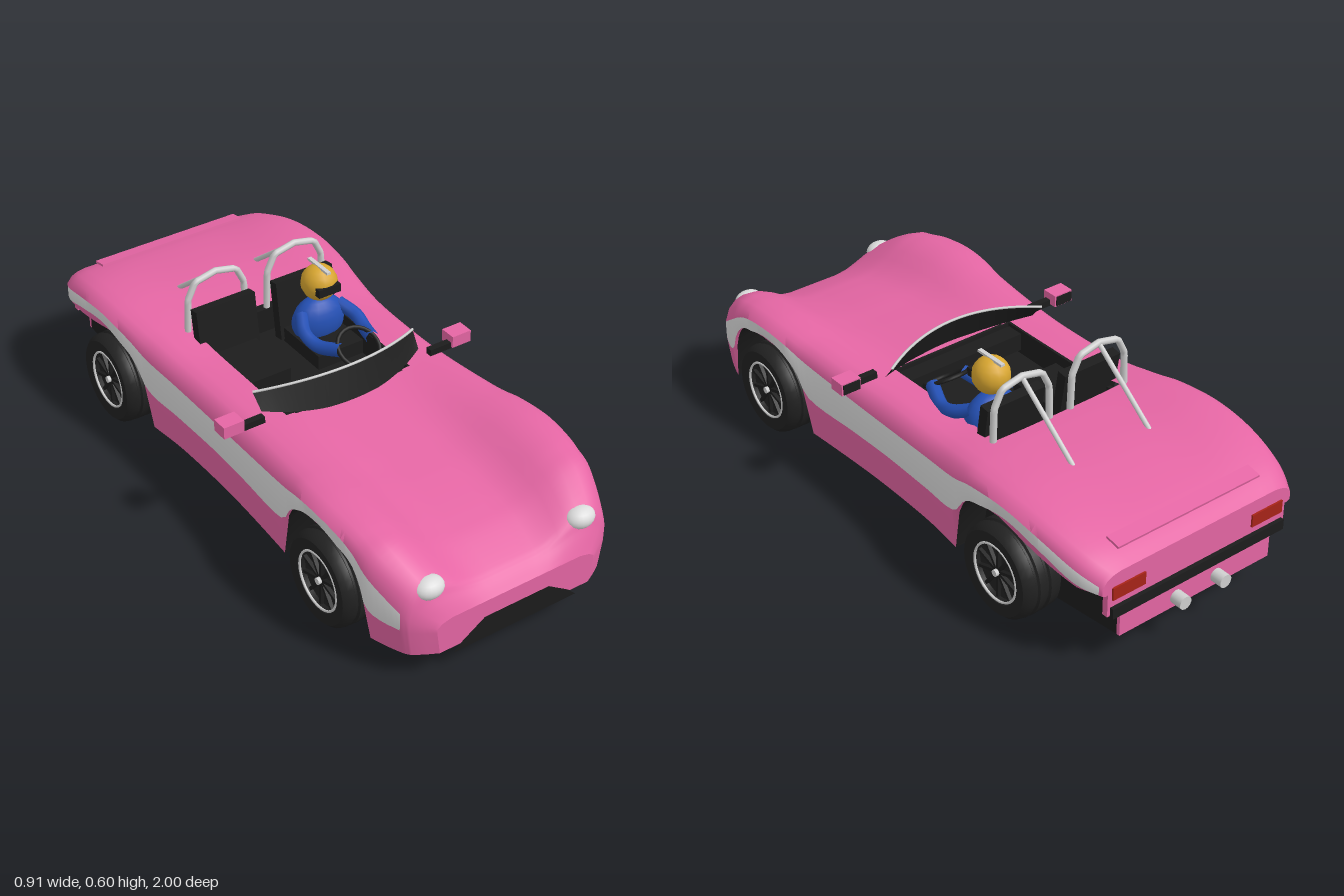
import * as THREE from 'three';
import { toCreasedNormals } from 'three/addons/utils/BufferGeometryUtils.js';

const mat = (name, color, side = THREE.FrontSide) => {
  const m = new THREE.MeshStandardMaterial({ color, side });
  m.name = name;
  return m;
};
const pink = mat('pink paint', 0xe566a4);
const white = mat('pale stripe', 0xdcdcdc);
const black = mat('black trim', 0x1c1c1c, THREE.DoubleSide);
const rubber = mat('tyre rubber', 0x212121);
const metal = mat('pale metal', 0xd0d0d0);
const blue = mat('blue overalls', 0x2450b4);
const yellow = mat('yellow helmet', 0xd8a630);
const red = mat('red lamp', 0xa82418);

// Body stations: z, half width, centre height, fender height, stripe top, stripe bottom
const stations = [
  [1, .28, .205, .205, .185, .17], [.97, .335, .235, .265, .21, .175], [.94, .365, .255, .315, .24, .18],
  [.84, .403, .295, .38, .31, .2], [.77, .408, .312, .4, .355, .3], [.7, .412, .325, .41, .378, .338],
  [.6, .415, .34, .416, .388, .358], [.5, .41, .35, .412, .378, .33], [.4, .4, .36, .404, .355, .23],
  [.17, .388, .38, .391, .335, .22], [0, .385, .387, .39, .33, .22], [-.2, .39, .39, .392, .335, .22],
  [-.35, .405, .405, .41, .352, .235], [-.45, .415, .41, .42, .38, .32], [-.6, .42, .41, .425, .395, .36],
  [-.75, .415, .395, .41, .375, .335], [-.88, .395, .37, .375, .335, .29], [-.96, .36, .335, .335, .3, .275]];
const STEPS = 5;

// Lower edge of the body skin, rising over each wheel
function lowerEdge(z) {
  const arch = t => .09 + .25 * Math.sqrt(Math.max(0, 1 - t ** 4));
  if (z < -.58) return .34 - .07 * Math.min(1, (-.58 - z) / .3);
  return Math.max(arch((z - .62) / .22), arch((z + .58) / .23));
}

// Half section from the centre line out and down to the inner wheel-well edge
function halfSection([z, w, yc, yf, st, sb]) {
  const k = w / .4, low = lowerEdge(z);
  const pts = [0, .06, .11, .16, .2, .235, .28, .325].map(x =>
    [x * k, yc + (yf - yc) * THREE.MathUtils.smoothstep(x, .11, .31)]);
  const drop = yf - st;
  pts.push([w - .04, yf - drop * .12], [w - .017, yf - drop * .4], [w, st]);
  pts.push([w, Math.max(sb, low)], [w - .012, low], [.26, low]);
  return pts;
}

function buildBody() {
  const curves = [1, 2, 3, 4, 5].map(c => new THREE.SplineCurve(stations.map(s => new THREE.Vector2(s[0], s[c]))));
  const rows = (stations.length - 1) * STEPS;
  const pos = [], idx = [[], [], []], rings = [];
  for (let i = 0; i <= rows; i++) {
    const p = curves.map(c => c.getPoint(i / rows));
    const half = halfSection([p[0].x, ...p.map(v => v.y)]);
    const ring = [...half.slice(1).reverse(), ...half.map(([x, y]) => [-x, y])];
    rings.push({ z: p[0].x, ring });
    ring.forEach(([x, y]) => pos.push(x, y, p[0].x));
  }
  const n = rings[0].ring.length, mid = (n - 1) / 2;
  for (let i = 0; i < rows; i++) {
    const z = (rings[i].z + rings[i + 1].z) / 2;
    for (let j = 0; j < n - 1; j++) {
      const band = Math.floor(Math.abs(j + .5 - mid));
      if (band < 5 && z < .17 && z > -.35) continue; // open cockpit
      const a = i * n + j, c = a + n;
      const g = band === 12 ? 2 : band === 10 && z < .945 && z > -.945 ? 1 : 0;
      idx[g].push(a, c, a + 1, a + 1, c, c + 1);
    }
  }
  const geo = new THREE.BufferGeometry();
  geo.setAttribute('position', new THREE.Float32BufferAttribute(pos, 3));
  geo.setIndex(idx.flat());
  let start = 0;
  idx.forEach((list, g) => { geo.addGroup(start, list.length, g); start += list.length; });
  return { geo: toCreasedNormals(geo, .7), first: rings[0].ring, last: rings[rows].ring };
}

export function createModel() {
  const car = new THREE.Group();
  car.name = 'car';
  const add = (name, geo, material, x = 0, y = 0, z = 0, parent = car) => {
    const m = new THREE.Mesh(geo, material);
    m.name = name;
    m.position.set(x, y, z);
    parent.add(m);
    return m;
  };
  const box = (name, m, w, h, d, x, y, z) => add(name, new THREE.BoxGeometry(w, h, d), m, x, y, z);
  const shapeOf = pts => new THREE.Shape(pts.map(p => new THREE.Vector2(...p)));
  const tube = (name, pts, r, m, smooth = false, sides = 8) => {
    const v = pts.map(p => new THREE.Vector3(...p));
    let path = new THREE.CatmullRomCurve3(v);
    if (!smooth) {
      path = new THREE.CurvePath();
      for (let i = 1; i < v.length; i++) path.add(new THREE.LineCurve3(v[i - 1], v[i]));
    }
    return add(name, new THREE.TubeGeometry(path, 32, r, sides), m);
  };

  // Body skin with nose and tail faces
  const { geo, first, last } = buildBody();
  add('bodyShell', geo, [pink, white, black]);
  add('noseFace', new THREE.ShapeGeometry(shapeOf(first)), pink, 0, 0, 1);
  add('tailFace', new THREE.ShapeGeometry(shapeOf(last)), pink, 0, 0, -.96).rotation.y = Math.PI;
  box('tailPanel', pink, .68, .085, .02, 0, .235, -.95);
  box('lowerTailPanel', pink, .58, .1, .012, 0, .15, -.953);
  box('rearBumper', black, .66, .035, .03, 0, .205, -.958);
  box('rearSpoiler', pink, .54, .008, .05, 0, .378, -.893).rotation.x = -.2;
  add('noseIntake', new THREE.ShapeGeometry(shapeOf([[-.22, .07], [.22, .07], [.19, .1], [.115, .15], [-.115, .15], [-.19, .1]])),
    black, 0, 0, 1.003);

  // Chassis tub
  const chassis = new THREE.ExtrudeGeometry(shapeOf([[.94, .09], [.8, .06], [-.65, .06], [-.95, .1], [-.95, .28],
    [-.4, .3], [.5, .3], [.8, .25], [.94, .18]]), { depth: .58, bevelEnabled: false });
  chassis.rotateY(-Math.PI / 2).translate(.29, 0, 0);
  add('chassis', chassis, black);

  // Cockpit lining
  const rect = (w, a, b) => [[-w, a], [w, a], [w, b], [-w, b]];
  const frame = shapeOf(rect(.236, -.175, .355));
  frame.holes.push(new THREE.Path(rect(.222, -.165, .345).map(p => new THREE.Vector2(...p))));
  const lining = new THREE.ExtrudeGeometry(frame, { depth: .09, bevelEnabled: false });
  add('cockpitLining', lining.rotateX(-Math.PI / 2), black, 0, .295, 0);
  box('dashboard', black, .44, .06, .06, 0, .345, .13);

  // Curved windscreen and its rim
  const N = 20, glass = new THREE.PlaneGeometry(1, 1, N, 1), gp = glass.attributes.position, rim = [];
  for (let i = 0; i <= N; i++) {
    const s = i / N * 2 - 1, q = s * s;
    const top = [.295 * s, .478 - .026 * q, .168 - .078 * q];
    gp.setXYZ(i, ...top);
    gp.setXYZ(i + N + 1, .29 * s, .375 + .028 * q, .205 - .075 * q);
    rim.push(top);
  }
  glass.computeVertexNormals();
  add('windscreen', glass, black);
  tube('windscreenRim', rim, .0045, metal, true, 6);

  for (const s of [-1, 1]) {
    // Lamps, mirrors and exhausts
    const lamp = add('headlight', new THREE.SphereGeometry(1, 20, 12), white, s * .27, .29, .937);
    lamp.scale.set(.05, .034, .04);
    box('tailLight', red, .12, .042, .012, s * .265, .268, -.96);
    box('mirror', pink, .07, .04, .055, s * .418, .42, .155);
    box('mirrorGlass', black, .06, .032, .006, s * .418, .42, .126);
    box('mirrorArm', black, .09, .022, .022, s * .35, .405, .163);
    add('exhaust', new THREE.CylinderGeometry(.022, .022, .08, 14), metal, s * .078, .135, -.96).rotation.x = Math.PI / 2;

    // Seats and roll hoops
    const cx = s * .147;
    box('seatBack', black, .215, .2, .035, cx, .405, -.295).rotation.x = -.15;
    box('seatCushion', black, .19, .05, .2, cx, .325, -.17);
    const hoop = [[-.107, .39], [-.103, .52], [-.075, .577], [0, .594], [.075, .577], [.103, .52], [.107, .39]];
    tube('rollHoop', hoop.map(([x, y]) => [cx + x, y, -.35]), .011, metal);
    tube('rollHoopStrut', [[cx, .59, -.35], [cx, .405, -.585]], .008, metal);
  }

  // Driver
  const dx = .145;
  const torso = add('driverTorso', new THREE.SphereGeometry(1, 16, 12), blue, dx, .385, -.21);
  torso.scale.set(.095, .085, .06);
  for (const s of [-1, 1]) {
    tube('driverArm', [[dx + s * .07, .425, -.2], [dx + s * .097, .4, -.14], [dx + s * .09, .385, -.08], [dx + s * .06, .405, .005]],
      .022, blue, true);
  }
  add('helmet', new THREE.SphereGeometry(.06, 14, 10), yellow, dx, .525, -.205);
  box('helmetVisor', black, .082, .028, .04, dx, .522, -.163);
  box('helmetStripe', metal, .014, .008, .11, dx, .583, -.205);
  add('steeringWheel', new THREE.TorusGeometry(.07, .007, 8, 24), black, dx, .4, .015).rotation.x = -1.0;

  // Wheels
  const profile = [[.085, -.055], [.135, -.07], [.15, -.055], [.153, -.02], [.147, -.015], [.147, -.008], [.153, -.003],
    [.153, .02], [.147, .025], [.147, .032], [.152, .036], [.148, .056], [.135, .07], [.1, .066], [.092, .045], [0, .042]];
  const tyre = toCreasedNormals(new THREE.LatheGeometry(profile.map(p => new THREE.Vector2(...p)), 32), .6);
  const back = new THREE.CylinderGeometry(.09, .09, .01, 24);
  for (const s of [-1, 1]) {
    for (const [name, z, x] of [['frontWheel', .62, .357], ['rearWheel', -.58, .366]]) {
      const wheel = new THREE.Group();
      wheel.name = name;
      wheel.position.set(s * x, .155, z);
      wheel.rotation.z = -s * Math.PI / 2;
      car.add(wheel);
      add('tyre', tyre, rubber, 0, 0, 0, wheel);
      add('wheelBack', back, black, 0, -.05, 0, wheel);
      add('rimRing', new THREE.TorusGeometry(.094, .004, 6, 32), metal, 0, .063, 0, wheel).rotation.x = Math.PI / 2;
      add('hubCap', new THREE.CylinderGeometry(.011, .011, .014, 10), metal, 0, .06, 0, wheel);
      for (let i = 0; i < 5; i++) {
        const spoke = add('spokePair', new THREE.BoxGeometry(.18, .012, .01), black, 0, .05, 0, wheel);
        spoke.rotation.y = i * Math.PI / 5;
      }
    }
  }
  return car;
}
